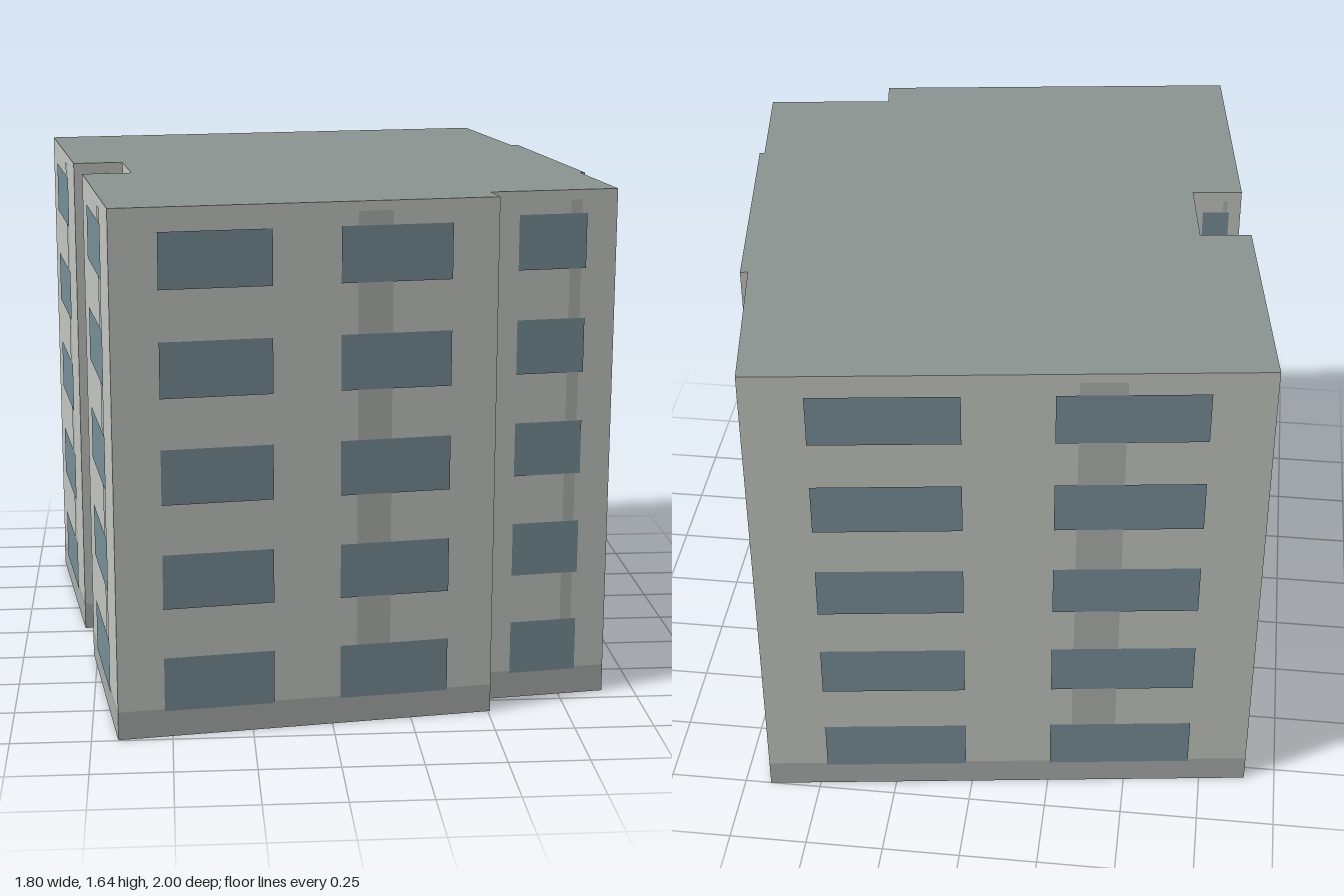
import * as THREE from 'three';

const HEIGHT = 1.645, FLOORS = 5, STOREY = HEIGHT / FLOORS;

// Footprint corners [x, z], clockwise seen from above
const PLAN = [
  [0.665, -1.0], [0.748, -0.435], [0.772, -0.438], [0.867, 0.316], [0.851, 0.318],
  [0.897, 0.687], [0.494, 0.738], [0.507, 0.84], [-0.667, 0.995], [-0.762, 0.235],
  [-0.603, 0.215], [-0.637, -0.053], [-0.799, -0.033], [-0.9, -0.797],
];

const paint = (color, side = THREE.FrontSide) =>
  new THREE.MeshStandardMaterial({ color, side });
const wallMat = paint(0xc4c7c2, THREE.DoubleSide);
const roofMat = paint(0x8c9591, THREE.DoubleSide);
const plinthMat = paint(0xaaaeac);
const streakMat = paint(0xb0b3af);
const glassMat = paint(0x789099);

// Flat panel given by its left, right, bottom and top in the wall's own frame
function panel(name, x0, x1, y0, y1, z, material) {
  const geometry = new THREE.PlaneGeometry(x1 - x0, y1 - y0);
  geometry.translate((x0 + x1) / 2, (y0 + y1) / 2, z);
  const mesh = new THREE.Mesh(geometry, material);
  mesh.name = name;
  return mesh;
}

// One facade between two plan corners, facing outwards
function facade([ax, az], [bx, bz]) {
  const group = new THREE.Group();
  group.name = 'facade';
  const length = Math.hypot(bx - ax, bz - az);
  group.position.set(bx, 0, bz);
  group.rotation.y = Math.atan2(bz - az, ax - bx);

  group.add(panel('wall', 0, length, 0, HEIGHT, 0, wallMat));
  group.add(panel('plinth', 0, length, 0, 0.09, 0.001, plinthMat));
  if (length < 0.12) return group;

  // Vertical weathering streak running behind the windows
  group.add(panel('streak', 0.632 * length, 0.722 * length, 0.09, 1.615, 0.002, streakMat));

  // Window columns: two on the long walls, one elsewhere
  const centres = length > 1 ? [0.267, 0.733] : [0.493];
  const half = (length > 1 ? 0.145 : 0.267) * length;
  for (let floor = 0; floor < FLOORS; floor++) {
    const y = floor * STOREY + 0.084;
    for (const c of centres) {
      group.add(panel('window', c * length - half, c * length + half, y, y + 0.172, 0.004, glassMat));
    }
  }
  return group;
}

export function createModel() {
  const model = new THREE.Group();
  model.name = 'apartmentBlock';

  PLAN.forEach((corner, i) => model.add(facade(corner, PLAN[(i + 1) % PLAN.length])));

  // Flat roof; the block is open underneath
  const outline = new THREE.Shape(PLAN.map(([x, z]) => new THREE.Vector2(x, -z)));
  const roof = new THREE.Mesh(new THREE.ShapeGeometry(outline), roofMat);
  roof.name = 'roof';
  roof.rotation.x = -Math.PI / 2;
  roof.position.y = HEIGHT;
  model.add(roof);

  return model;
}
